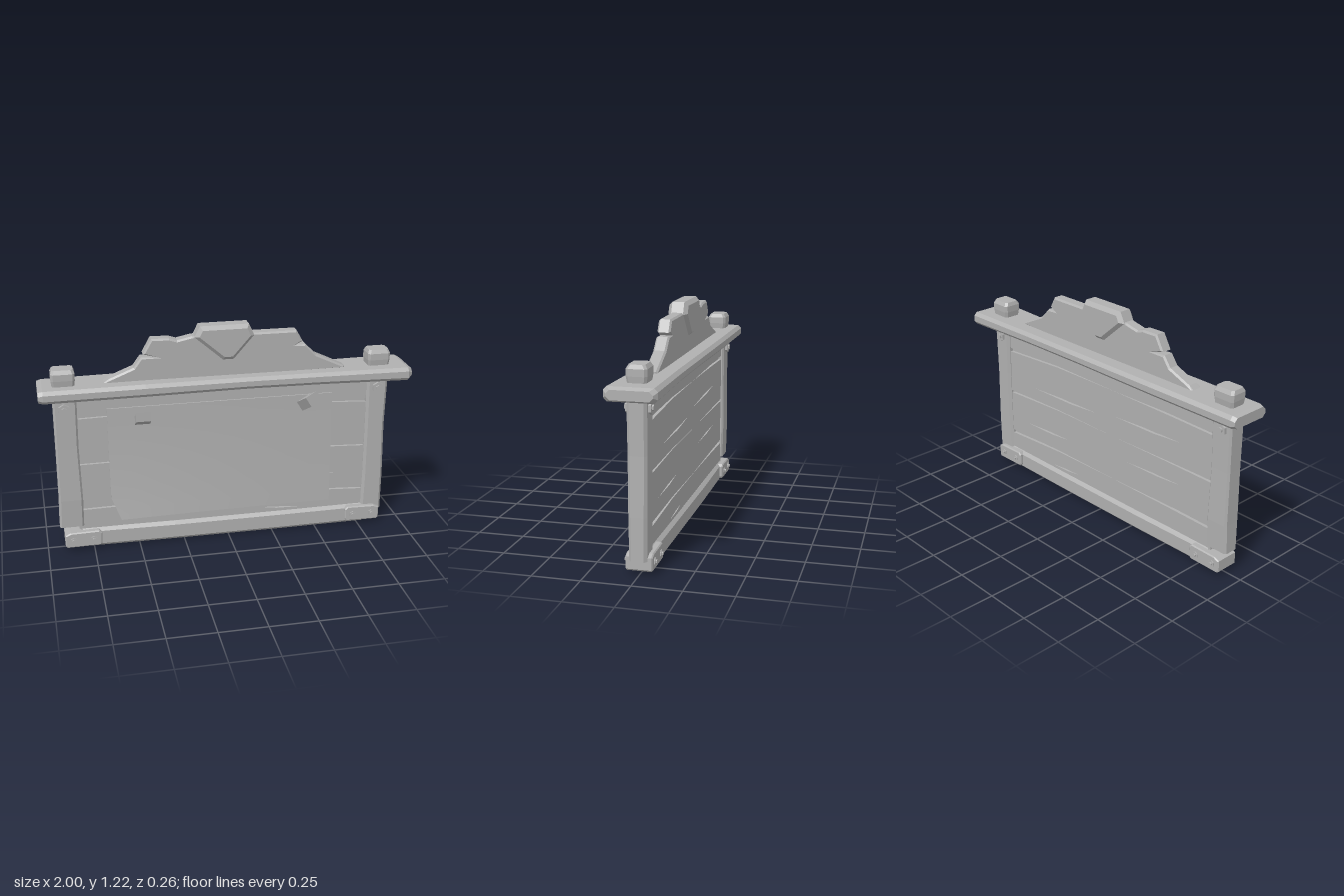
import * as THREE from 'three';

const stone = new THREE.MeshStandardMaterial({ color: 0xb0b0b0 });
stone.name = 'plainGrey';

// Chamfered bar lofted through stations [t, centreA, centreB, halfA, halfB].
// Axis x uses a = y, b = z; axis y uses a = z, b = x.
function bar(axis, stations, c) {
  const place = (t, a, b) => (axis === 'x' ? [t, a, b] : [b, t, a]);
  const rings = stations.map(([t, ca, cb, ha, hb]) =>
    [[1, -1, 0, 1], [1, 1, 0, -1], [1, 1, -1, 0], [-1, 1, 1, 0],
      [-1, 1, 0, -1], [-1, -1, 0, 1], [-1, -1, 1, 0], [1, -1, -1, 0]]
      .map(([sa, sb, da, db]) => place(t, ca + sa * ha + da * c, cb + sb * hb + db * c)));
  const pos = [];
  const tri = (...p) => p.forEach((v) => pos.push(...v));
  for (let i = 0; i < rings.length - 1; i++) {
    for (let k = 0; k < 8; k++) {
      const n = (k + 1) % 8, r = rings[i], s = rings[i + 1];
      tri(r[k], r[n], s[n]);
      tri(r[k], s[n], s[k]);
    }
  }
  const first = rings[0], last = rings[rings.length - 1];
  for (let k = 1; k < 7; k++) {
    tri(first[0], first[k + 1], first[k]);
    tri(last[0], last[k], last[k + 1]);
  }
  const g = new THREE.BufferGeometry();
  g.setAttribute('position', new THREE.Float32BufferAttribute(pos, 3));
  g.computeVertexNormals();
  return g;
}

// Outline extruded symmetrically about z = 0, with an inward bevel
function slab(points, half, bevel = 0, holes = []) {
  const toV = (p) => p.map(([x, y]) => new THREE.Vector2(x, y));
  const shape = new THREE.Shape(toV(points));
  holes.forEach((h) => shape.holes.push(new THREE.Path(toV(h))));
  const g = new THREE.ExtrudeGeometry(shape, {
    depth: 2 * (half - bevel), bevelEnabled: bevel > 0, bevelSegments: 1,
    bevelSize: bevel, bevelThickness: bevel, bevelOffset: -bevel,
  });
  return g.translate(0, 0, -(half - bevel));
}

// Short peg with its front face shifted and turned
function peg(x, y, w, h, dx, dy, turn) {
  const g = new THREE.BoxGeometry(w, h, 0.085).rotateZ(turn);
  const p = g.attributes.position;
  for (let i = 0; i < p.count; i++) {
    const front = p.getZ(i) > 0;
    p.setXYZ(i, p.getX(i) + x + (front ? dx : 0), p.getY(i) + y + (front ? dy : 0), p.getZ(i) + 0.08);
  }
  return g.toNonIndexed();
}

export function createModel() {
  const model = new THREE.Group();
  model.name = 'noticeBoard';
  const add = (name, geometry) => {
    geometry.computeVertexNormals();
    const mesh = new THREE.Mesh(geometry, stone);
    mesh.name = name;
    model.add(mesh);
    return mesh;
  };

  // Wide top rail, slightly bowed
  add('topRail', bar('x', [
    [-1, 0.914, -0.004, 0.028, 0.112], [-0.975, 0.914, -0.004, 0.034, 0.118],
    [-0.45, 0.917, -0.006, 0.034, 0.122], [0.1, 0.917, -0.008, 0.032, 0.117],
    [0.5, 0.915, -0.005, 0.033, 0.118], [0.975, 0.913, -0.001, 0.036, 0.13],
    [1, 0.913, -0.002, 0.024, 0.112]], 0.018));

  // Posts and their caps above the rail
  add('rightPost', bar('y', [[0.14, 0, -0.865, 0.044, 0.065], [0.3, 0, -0.862, 0.049, 0.064],
    [0.6, 0, -0.866, 0.047, 0.06], [0.9, 0, -0.865, 0.05, 0.062]], 0.01));
  add('leftPost', bar('y', [[0.08, 0, 0.83, 0.045, 0.06], [0.3, 0, 0.832, 0.047, 0.058],
    [0.6, 0, 0.828, 0.049, 0.055], [0.9, 0, 0.83, 0.05, 0.06]], 0.014));
  for (const x of [-0.867, 0.832]) {
    add('postCap', bar('y', [[0.93, -0.003, x, 0.045, 0.056], [0.98, -0.003, x, 0.052, 0.062],
      [1.015, -0.003, x, 0.052, 0.062], [1.035, -0.003, x, 0.04, 0.054]], 0.012));
  }

  // Bottom rail
  add('bottomRail', bar('x', [[-0.81, 0.065, 0, 0.056, 0.048], [-0.3, 0.062, 0, 0.055, 0.052],
    [0.3, 0.06, 0, 0.056, 0.05], [0.785, 0.062, 0, 0.056, 0.05]], 0.018));

  // Planks with tapering gaps and lens-shaped cracks over a thin core
  add('boardCore', new THREE.BoxGeometry(1.62, 0.78, 0.03).translate(-0.015, 0.5, 0));
  const seams = [0.09, 0.245, 0.505, 0.775, 0.9];
  const gap = [0, 0.02, 0.014, 0.022, 0];
  const lens = (x, y, l, h) => [[x - l, y + h], [x, y + h * 0.5], [x + l, y - h], [x - l * 0.2, y - h * 0.7]];
  const cracks = [
    [lens(0.3, 0.14, 0.11, 0.008)],
    [lens(-0.4, 0.39, 0.2, 0.008), lens(0.45, 0.33, 0.18, 0.009)],
    [lens(-0.35, 0.63, 0.24, 0.01), lens(0.3, 0.58, 0.26, 0.01)],
    [],
  ];
  for (let i = 0; i < 4; i++) {
    const lo = seams[i], hi = seams[i + 1], a = gap[i], b = gap[i + 1];
    add('plank', slab([
      [-0.82, lo + 0.005], [-0.5, lo], [-0.1, lo - 0.008], [0.35, lo - 0.004], [0.79, lo - 0.016],
      [0.79, hi - 0.016 - b], [0.35, hi - 0.004 - b * 0.4], [-0.1, hi - 0.008],
      [-0.5, hi - b * 0.5], [-0.82, hi + 0.005 - b],
    ], 0.032 - a * 0.05, 0, cracks[i]));
  }

  // Carved crest with small edge splits
  add('crest', slab([
    [-0.67, 0.94], [-0.63, 0.968], [-0.5, 1.02], [-0.46, 1.075], [-0.37, 1.068], [-0.45, 1.09],
    [-0.405, 1.17], [-0.31, 1.168], [-0.27, 1.155], [-0.19, 1.172], [0.37, 1.17],
    [0.405, 1.108], [0.36, 1.088], [0.42, 1.09], [0.48, 1.03], [0.64, 0.955], [0.64, 0.94],
  ], 0.034, 0.009));
  add('crestBlock', slab([
    [-0.18, 1.165], [-0.15, 1.224], [0.11, 1.224], [0.14, 1.16], [0.03, 1.035], [-0.03, 1.035],
  ], 0.052, 0.02));

  // Paper sheet: flat at the top, curling out at its lower corner
  const paper = new THREE.BoxGeometry(1, 1, 0.008, 10, 10, 1);
  const p = paper.attributes.position;
  for (let i = 0; i < p.count; i++) {
    const u = p.getX(i) + 0.5, v = p.getY(i) + 0.5;
    const pinch = 0.05 * Math.max(0, 1 - v / 0.2) * (1 - u);
    const curl = (1 - v) ** 2 * (0.012 + 0.04 * (1 - u) ** 1.5);
    p.setXYZ(i, -0.65 + pinch + u * (1.225 - pinch),
      0.17 + 0.013 * (1 - u) * (1 - v) + v * 0.64, 0.041 + curl + p.getZ(i));
  }
  add('paperSheet', paper);
  add('paperPeg', peg(-0.465, 0.73, 0.08, 0.05, -0.003, 0.05, 0));
  add('paperPeg', peg(0.42, 0.757, 0.07, 0.062, 0.03, 0.055, 0.55));

  // Hex bolt with a raised centre, passing through front and back
  const bolt = (x, y, r, half) => {
    const nut = new THREE.CylinderGeometry(r, r, 2 * half, 6).rotateX(Math.PI / 2).translate(x, y, 0);
    add('bolt', nut.toNonIndexed());
    const pin = new THREE.CylinderGeometry(r * 0.5, r * 0.5, 2 * half + 0.016, 6);
    add('boltPin', pin.rotateX(Math.PI / 2).translate(x, y, 0).toNonIndexed());
  };
  bolt(-0.87, 0.825, 0.032, 0.063);
  bolt(0.83, 0.825, 0.032, 0.063);

  // Corner brackets around the bottom rail
  for (const [x, side] of [[-0.807, -1], [0.772, 1]]) {
    const o = side * 0.1, e = side * 0.07;
    const outline = [[-o, 0.04], [-o, 0.1], [-o * 0.85, 0.115], [e, 0.112], [o, 0.098], [o, 0.035], [o * 0.9, 0.025], [-o * 0.9, 0.027]];
    add('bracket', slab(outline.map(([dx, y]) => [x + dx, y]), 0.068, 0.006));
    for (const d of [-0.055, 0.055]) bolt(x + d, 0.068, 0.019, 0.073);
  }
  return model;
}
